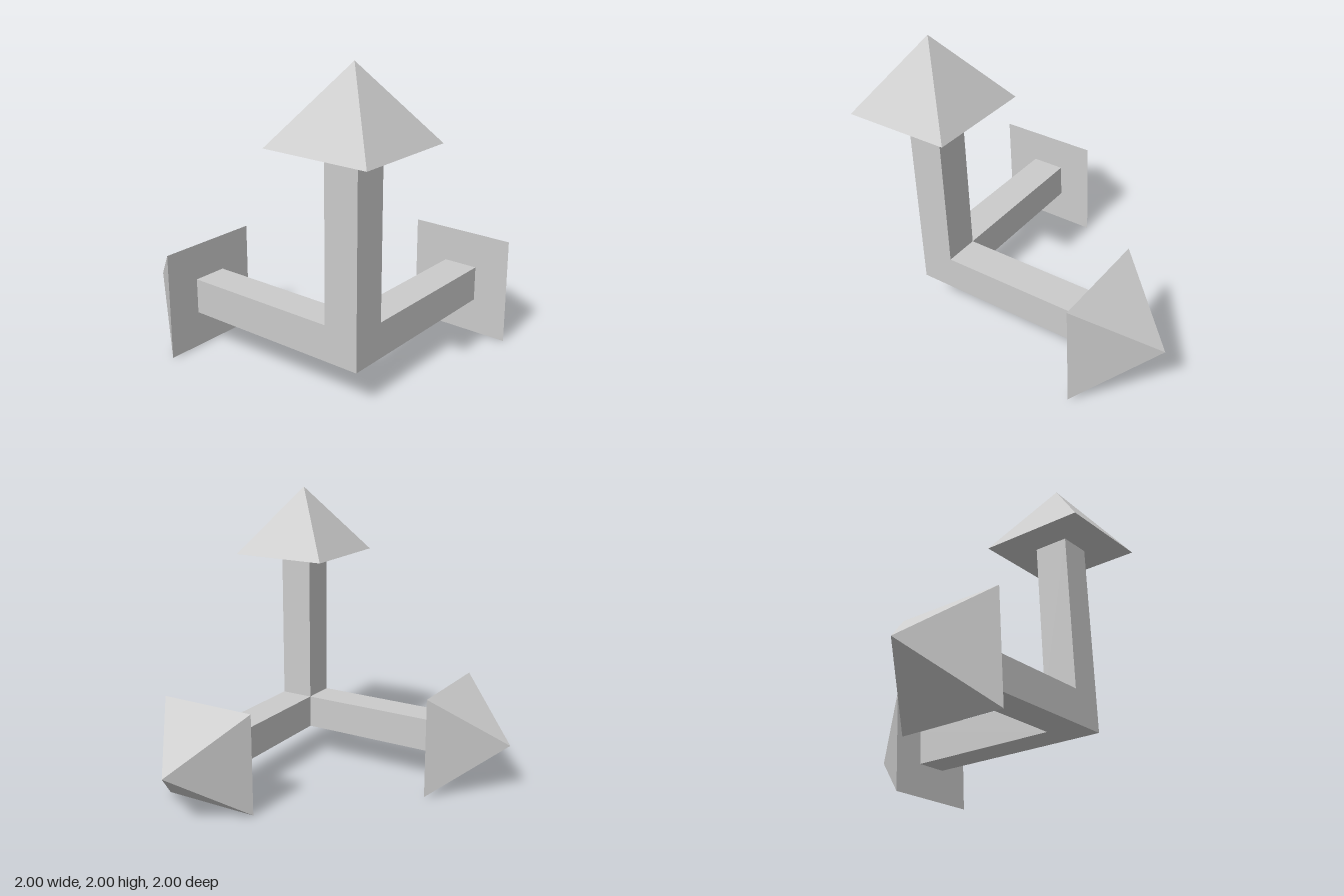
import * as THREE from 'three';

const material = new THREE.MeshStandardMaterial({ color: 0xcccccc, flatShading: true });

const SHAFT = 0.232;      // shaft thickness
const HEAD = 0.702;       // width of the pyramid base
const HEAD_START = 1.182; // distance from corner centre to pyramid base
const TIP = 1.649;        // distance from corner centre to pyramid tip

function addMesh(parent, name, geometry, y = 0) {
  const mesh = new THREE.Mesh(geometry, material);
  mesh.name = name;
  mesh.position.y = y;
  parent.add(mesh);
}

// Square shaft with a pyramid head, pointing along local +y
function createArrow(name) {
  const arrow = new THREE.Group();
  arrow.name = name;

  const shaftLength = HEAD_START - SHAFT / 2;
  addMesh(arrow, 'shaft', new THREE.BoxGeometry(SHAFT, shaftLength, SHAFT), SHAFT / 2 + shaftLength / 2);

  const headHeight = TIP - HEAD_START;
  const head = new THREE.ConeGeometry(HEAD / Math.SQRT2, headHeight, 4).rotateY(Math.PI / 4);
  addMesh(arrow, 'pyramidHead', head, HEAD_START + headHeight / 2);
  return arrow;
}

export function createModel() {
  const model = new THREE.Group();
  model.name = 'axisArrows';

  // Everything is laid out from the shared corner
  const axes = new THREE.Group();
  axes.name = 'axes';
  axes.position.set(-0.649, 0.351, 0.649);
  model.add(axes);

  addMesh(axes, 'cornerCube', new THREE.BoxGeometry(SHAFT, SHAFT, SHAFT));

  const upArrow = createArrow('upArrow');
  const sideArrow = createArrow('sideArrow');
  sideArrow.rotation.z = -Math.PI / 2; // towards +x
  const backArrow = createArrow('backArrow');
  backArrow.rotation.x = -Math.PI / 2; // towards -z
  axes.add(upArrow, sideArrow, backArrow);

  return model;
}
